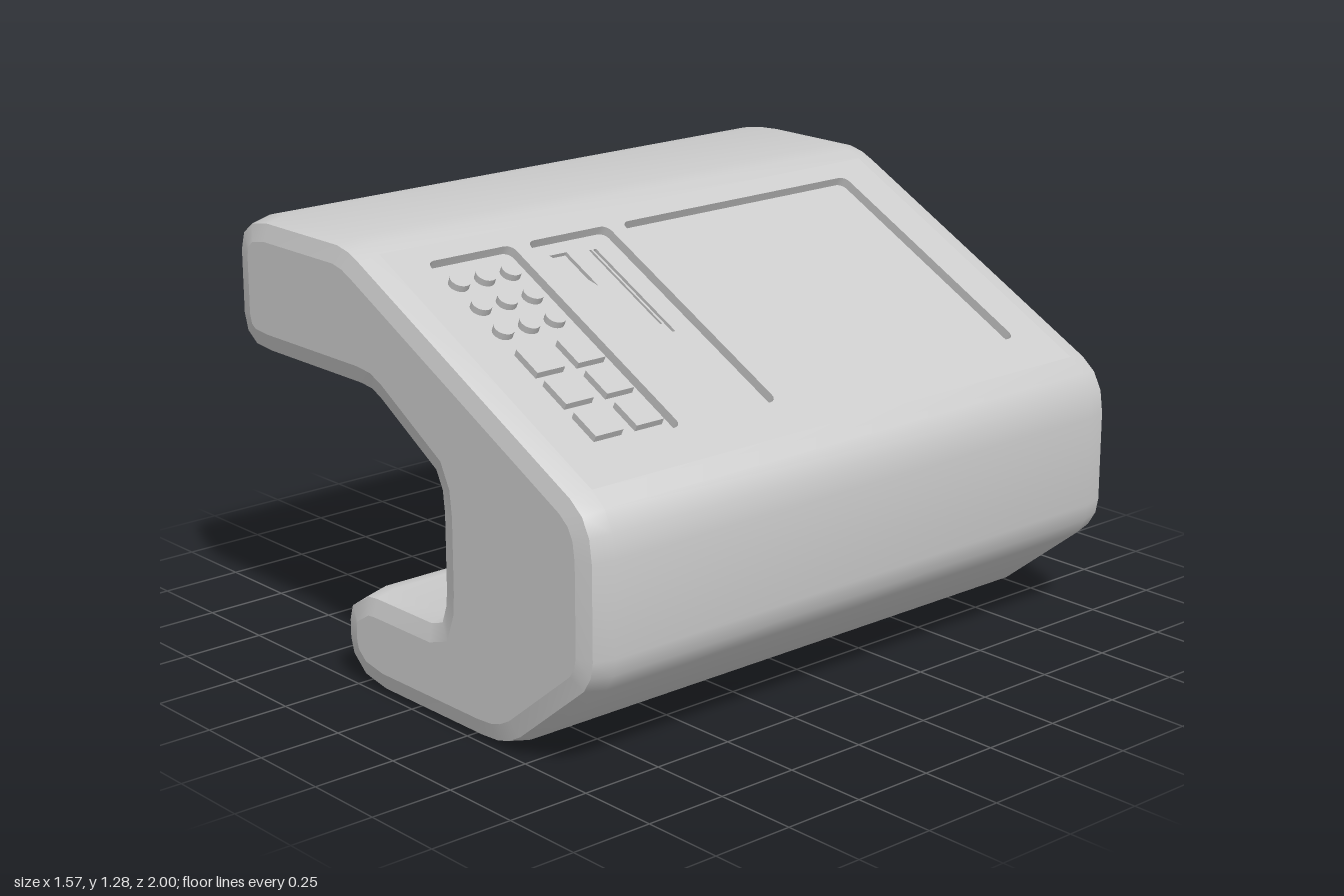
import * as THREE from 'three';
import { mergeGeometries, toCreasedNormals } from 'three/addons/utils/BufferGeometryUtils.js';

const grey = new THREE.MeshStandardMaterial({ color: 0xcccccc });
const V2 = (x, y) => new THREE.Vector2(x, y);

// C-shaped profile, clockwise from the sloped face, reversed to counter-clockwise
const TOP = V2(-0.2, 1.248), LOW = V2(0.69, 0.797);
const profile = [
  [-0.2, 1.248], [0.69, 0.797], [0.74, 0.757], [0.77, 0.7], [0.78, 0.63], // slope and right shoulder
  [0.78, 0.36], [0.77, 0.31], [0.74, 0.262], [0.47, 0.047], [0.42, 0.02], [0.37, 0.005], [0.3, 0], // lower right
  [-0.14, 0], [-0.24, 0.018], [-0.3, 0.07], [-0.315, 0.12], // foot
  [-0.315, 0.18], [-0.3, 0.232], [-0.215, 0.285], [-0.17, 0.29],
  [0.08, 0.29], [0.12, 0.303], [0.137, 0.35], [0.14, 0.4], // inside of the C
  [0.14, 0.61], [0.133, 0.67], [0.11, 0.715], [-0.13, 0.86], [-0.165, 0.875], [-0.21, 0.88],
  [-0.64, 0.88], [-0.72, 0.887], [-0.77, 0.922], [-0.787, 0.98], // upper arm
  [-0.787, 1.17], [-0.77, 1.228], [-0.72, 1.267], [-0.64, 1.28], [-0.3, 1.28], [-0.245, 1.268],
].map(([x, y]) => V2(x, y)).reverse();

// Moves a counter-clockwise outline inwards by d with mitred corners
function inset(pts, d) {
  const n = pts.length;
  const normal = (a, b) => V2(a.y - b.y, b.x - a.x).normalize();
  return pts.map((p, i) => {
    const n1 = normal(pts[(i + n - 1) % n], p), n2 = normal(p, pts[(i + 1) % n]);
    return p.clone().addScaledVector(n1.clone().add(n2), d / (1 + n1.dot(n2)));
  });
}

// Skin between rings { pts, z } of rising z
function loft(rings, skip = () => false) {
  const pos = [];
  for (let r = 0; r + 1 < rings.length; r++) {
    const A = rings[r], B = rings[r + 1], n = A.pts.length;
    for (let i = 0; i < n; i++) {
      if (skip(r, i)) continue;
      const j = (i + 1) % n;
      const a = [A.pts[i].x, A.pts[i].y, A.z], b = [A.pts[j].x, A.pts[j].y, A.z];
      const c = [B.pts[j].x, B.pts[j].y, B.z], d = [B.pts[i].x, B.pts[i].y, B.z];
      pos.push(...a, ...b, ...c, ...a, ...c, ...d);
    }
  }
  const g = new THREE.BufferGeometry();
  g.setAttribute('position', new THREE.Float32BufferAttribute(pos, 3));
  return toCreasedNormals(g, 0.5);
}

function plate(outline, holes = [], z = 0) {
  const shape = new THREE.Shape(outline);
  shape.holes = holes.map((h) => new THREE.Path(h));
  const g = new THREE.ShapeGeometry(shape).translate(0, 0, z).toNonIndexed();
  g.deleteAttribute('uv');
  return g;
}

function addMesh(parent, name, geometry) {
  const m = new THREE.Mesh(geometry, grey);
  m.name = name;
  parent.add(m);
  return m;
}

// Panel frame: X runs down the slope, Y towards the back, Z out of the face
const dir = LOW.clone().sub(TOP).normalize();
const U = (x) => (x - TOP.x) / dir.x;

// Counter-clockwise rounded rectangle given by its x and z ranges
function roundRect(x0, x1, z0, z1, r = 0) {
  const a = U(x0), b = U(x1), c = -z1, d = -z0, pts = [];
  const corners = [[b - r, d - r], [a + r, d - r], [a + r, c + r], [b - r, c + r]];
  corners.forEach(([cx, cy], k) => {
    for (let s = 0; s <= (r ? 4 : 0); s++) {
      const t = (k + s / 4) * Math.PI / 2;
      pts.push(V2(cx + r * Math.cos(t), cy + r * Math.sin(t)));
    }
  });
  return pts;
}

// Floor and inward-facing walls of a recess
function pocket(outline, top, depth, holes = []) {
  const inner = outline.slice().reverse();
  const walls = loft([{ pts: inner, z: top - depth }, { pts: inner, z: top }]);
  return mergeGeometries([walls, plate(outline, holes, top - depth)]);
}

export function createModel() {
  const model = new THREE.Group();
  model.name = 'terminal';

  // Body skin with bevelled ends; the sloped face is left open for the panel
  const steps = [[-1, 0.065], [-0.985, 0.015], [-0.92, 0], [0.92, 0], [0.985, 0.015], [1, 0.065]];
  const rings = steps.map(([z, d]) => ({ pts: inset(profile, d), z }));
  const slopeEdge = profile.length - 2;
  addMesh(model, 'body', loft(rings, (r, i) => r === 2 && i === slopeEdge));
  const end = rings[5].pts;
  addMesh(model, 'frontEnd', plate(end, [], 1));
  const back = addMesh(model, 'backEnd', plate(end.map((p) => V2(-p.x, p.y)).reverse(), [], 1));
  back.rotation.y = Math.PI;

  // Sloped control panel
  const panel = new THREE.Group();
  panel.name = 'controlPanel';
  panel.matrixAutoUpdate = true;
  const basis = new THREE.Matrix4().makeBasis(
    new THREE.Vector3(dir.x, dir.y, 0), new THREE.Vector3(0, 0, -1), new THREE.Vector3(-dir.y, dir.x, 0));
  panel.quaternion.setFromRotationMatrix(basis);
  panel.position.set(TOP.x, TOP.y, 0);
  model.add(panel);

  const DEPTH = 0.028;
  const screen = roundRect(-0.14, 0.575, -0.8, 0.105, 0.025);
  const slotPanel = roundRect(-0.14, 0.575, 0.16, 0.455, 0.025);
  const keypad = roundRect(-0.14, 0.575, 0.51, 0.805, 0.025);
  addMesh(panel, 'slopedFace', plate(roundRect(TOP.x, LOW.x, -0.92, 0.92), [screen, slotPanel, keypad]));
  addMesh(panel, 'screen', pocket(screen, 0, DEPTH));
  addMesh(panel, 'keypadTray', pocket(keypad, 0, DEPTH));

  // Engraved arrow and slots
  const arrow = [V2(U(-0.1), -0.395), V2(U(0.04), -0.333), V2(U(-0.1), -0.333)];
  const marks = [arrow, roundRect(-0.09, 0.25, 0.232, 0.243), roundRect(-0.09, 0.215, 0.25, 0.258)];
  addMesh(panel, 'slotPanel', pocket(slotPanel, 0, DEPTH, marks));
  marks.forEach((m, i) => addMesh(panel, i ? 'slot' : 'arrowMark', pocket(m, -DEPTH, 0.012)));

  // Round and square keys
  const H = 0.02;
  for (const x of [-0.065, 0.03, 0.125]) {
    for (const z of [0.565, 0.655, 0.745]) {
      const key = new THREE.CylinderGeometry(0.03, 0.03, H, 20).rotateX(Math.PI / 2);
      addMesh(panel, 'roundKey', key).position.set(U(x), -z, H / 2 - DEPTH);
    }
  }
  for (const x of [0.25, 0.368, 0.488]) {
    for (const z of [0.58, 0.722]) {
      const key = new THREE.BoxGeometry(0.1, 0.095, H);
      addMesh(panel, 'squareKey', key).position.set(U(x), -z, H / 2 - DEPTH);
    }
  }
  return model;
}
